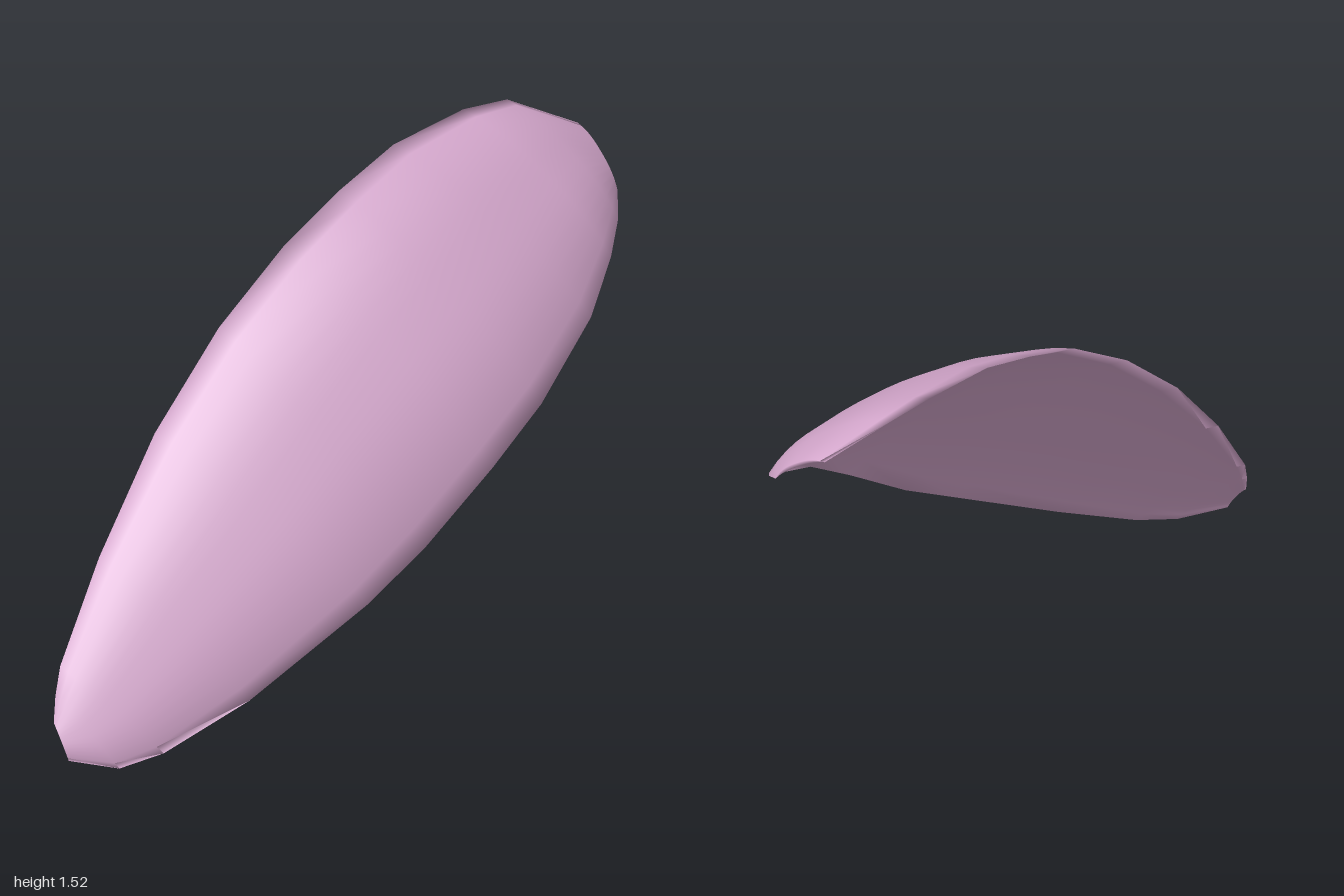
import * as THREE from 'three';

// Paired rim points [upper edge xyz, lower edge xyz] from narrow tip to broad tip
const STATIONS = [
  [-1.0, 0.13, 0.49, -0.97, 0.03, 0.56],
  [-0.985, 0.2, 0.45, -0.82, 0.005, 0.6],
  [-0.96, 0.28, 0.41, -0.68, 0.04, 0.6],
  [-0.8, 0.56, 0.26, -0.4, 0.17, 0.565],
  [-0.58, 0.87, 0.08, 0.0, 0.4, 0.46],
  [-0.34, 1.13, -0.07, 0.2, 0.53, 0.38],
  [-0.1, 1.32, -0.2, 0.44, 0.72, 0.27],
  [0.1, 1.42, -0.32, 0.62, 0.865, 0.165],
  [0.3, 1.5, -0.43, 0.83, 1.03, -0.05],
  [0.55, 1.53, -0.55, 0.93, 1.15, -0.2],
  [0.7, 1.52, -0.6, 0.98, 1.22, -0.31],
  [0.92, 1.42, -0.585, 1.0, 1.27, -0.4],
];
const ACROSS = 14;
const FRONT_DOME = 0.105; // bulge as a fraction of local width
const BACK_DOME = 0.055;

function petalGeometry() {
  const tops = STATIONS.map((s) => new THREE.Vector3(s[0], s[1], s[2]));
  const lows = STATIONS.map((s) => new THREE.Vector3(s[3], s[4], s[5]));
  const mids = tops.map((t, i) => t.clone().add(lows[i]).multiplyScalar(0.5));
  const last = STATIONS.length - 1;
  const ring = ACROSS * 2;
  const positions = [];
  const index = [];

  // Closed cross-sections: over the domed front, back along the hollow rear
  for (let i = 0; i <= last; i++) {
    const across = tops[i].clone().sub(lows[i]);
    const along = mids[Math.min(i + 1, last)].clone().sub(mids[Math.max(i - 1, 0)]);
    const normal = along.cross(across).normalize();
    const width = across.length();
    for (let j = 0; j < ring; j++) {
      const front = j <= ACROSS;
      const u = (front ? j : ring - j) / ACROSS;
      const bulge = 1 - Math.pow(Math.abs(2 * u - 1), 2.6);
      const p = lows[i].clone().lerp(tops[i], u)
        .addScaledVector(normal, bulge * width * (front ? FRONT_DOME : BACK_DOME));
      positions.push(p.x, p.y, p.z);
    }
  }

  // Skin between neighbouring sections
  for (let i = 0; i < last; i++) {
    for (let j = 0; j < ring; j++) {
      const k = (j + 1) % ring;
      const a = i * ring + j, c = i * ring + k;
      const b = a + ring, d = c + ring;
      index.push(a, b, c, b, d, c);
    }
  }

  // Close both tips by joining front to back
  for (const [row, start] of [[0, true], [last * ring, false]]) {
    for (let j = 0; j < ACROSS; j++) {
      const a = row + j, c = row + j + 1;
      const e = row + ((ring - j) % ring), f = row + ring - j - 1;
      if (start) index.push(a, c, f, a, f, e);
      else index.push(c, a, f, a, e, f);
    }
  }

  const geometry = new THREE.BufferGeometry();
  geometry.setAttribute('position', new THREE.Float32BufferAttribute(positions, 3));
  geometry.setIndex(index);
  geometry.computeVertexNormals();
  return geometry;
}

export function createModel() {
  const model = new THREE.Group();
  model.name = 'curvedPetal';
  const pink = new THREE.MeshStandardMaterial({ color: 0xd3a6cb });
  pink.name = 'petalPink';
  const petal = new THREE.Mesh(petalGeometry(), pink);
  petal.name = 'petal';
  model.add(petal);
  return model;
}
